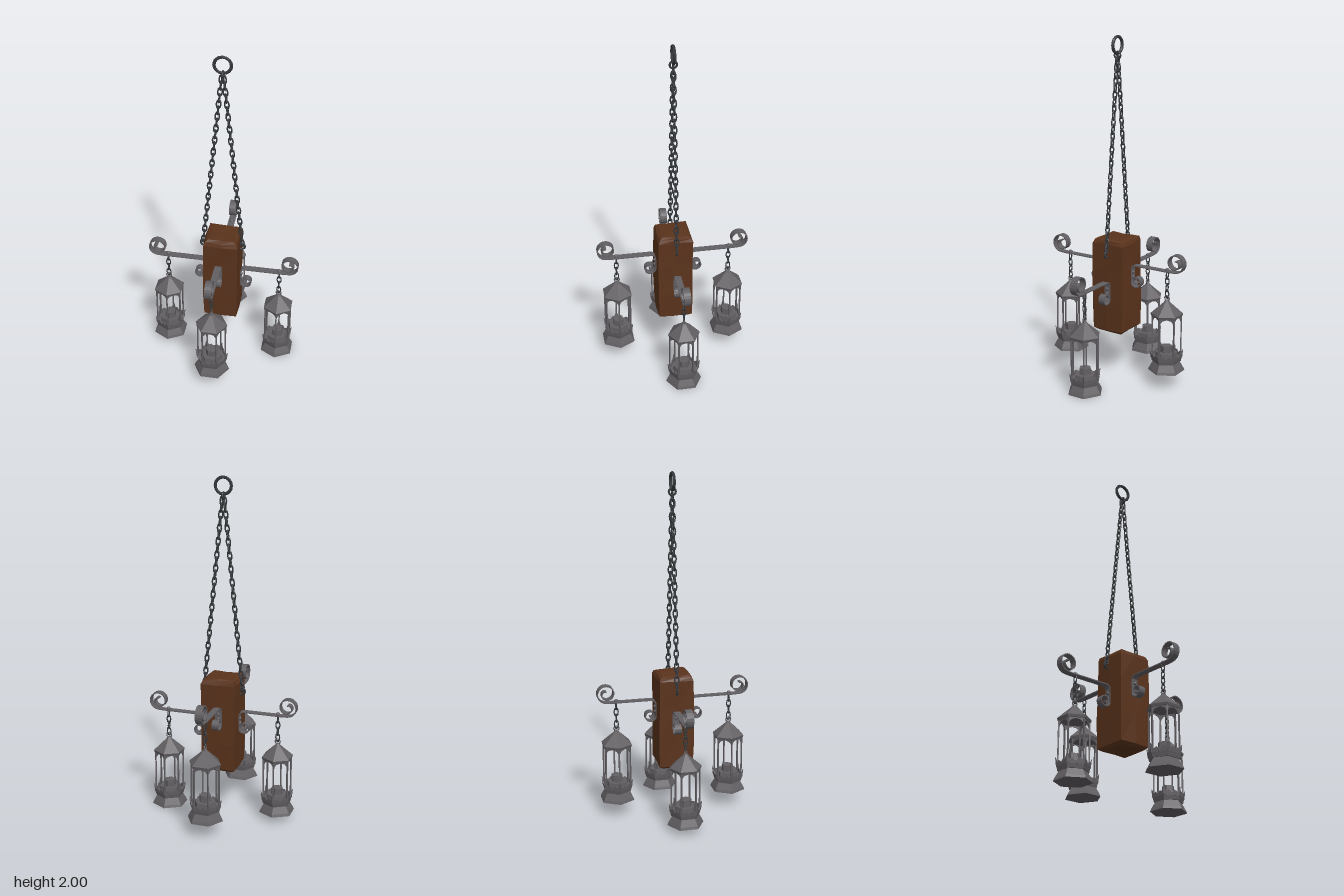
import * as THREE from 'three';

const material = (color) => new THREE.MeshStandardMaterial({ color, flatShading: true });
const wood = material(0x5a331c);
const iron = material(0x625f62);
const chainIron = material(0x35383b);

function add(parent, name, geometry, mat, x = 0, y = 0, z = 0) {
  const mesh = new THREE.Mesh(geometry, mat);
  mesh.name = name;
  mesh.position.set(x, y, z);
  parent.add(mesh);
  return mesh;
}

// Roughly hewn block lofted from eight-point sections
function blockGeometry() {
  const sections = [[0.282, 0.8], [0.298, 0.97], [0.46, 1], [0.66, 0.985], [0.815, 0.98], [0.836, 0.9], [0.845, 0.72]];
  const n = 8, pos = [], idx = [];
  sections.forEach(([y, s], j) => {
    for (let i = 0; i < n; i++) {
      const a = (i / n) * Math.PI * 2;
      const r = (i % 2 ? 0.145 : 0.105) * s + 0.003 * Math.sin(i * 2.3 + j * 1.7);
      pos.push(Math.sin(a) * r - 0.002, y + 0.003 * Math.sin(i * 1.9 + j), Math.cos(a) * r);
    }
  });
  for (let j = 0; j < sections.length - 1; j++) {
    for (let i = 0; i < n; i++) {
      const a = j * n + i, b = j * n + (i + 1) % n;
      idx.push(a, b, b + n, a, b + n, a + n);
    }
  }
  const top = (sections.length - 1) * n, c = pos.length / 3;
  pos.push(0, 0.28, 0, 0, 0.846, 0);
  for (let i = 0; i < n; i++) {
    const k = (i + 1) % n;
    idx.push(c, k, i, c + 1, top + i, top + k);
  }
  const g = new THREE.BufferGeometry();
  g.setAttribute('position', new THREE.Float32BufferAttribute(pos, 3));
  g.setIndex(idx);
  g.computeVertexNormals();
  return g;
}

function spiral(cx, cy, radius, start, turns, steps) {
  const pts = [];
  for (let i = 0; i <= steps; i++) {
    const u = i / steps, a = start + u * turns * Math.PI * 2;
    const r = radius * (1 - 0.75 * u * u);
    pts.push(new THREE.Vector2(cx + Math.cos(a) * r, cy + Math.sin(a) * r));
  }
  return pts;
}

// Flat iron strap following a 2D path
function strapGeometry(path, thickness, width) {
  const offset = (sign) => path.map((p, i) => {
    const a = path[Math.max(i - 1, 0)], b = path[Math.min(i + 1, path.length - 1)];
    const t = b.clone().sub(a).normalize();
    return new THREE.Vector2(p.x - t.y * sign * thickness / 2, p.y + t.x * sign * thickness / 2);
  });
  const shape = new THREE.Shape([...offset(-1), ...offset(1).reverse()]);
  return new THREE.ExtrudeGeometry(shape, { depth: width, bevelEnabled: false }).translate(0, 0, -width / 2);
}

// Chain of links alternately turned by a quarter
function chain(parent, name, from, to, pitch, radius, tube) {
  const group = new THREE.Group();
  group.name = name;
  const dir = to.clone().sub(from), count = Math.round(dir.length() / pitch);
  const step = dir.length() / count;
  const stretch = (step * 0.62) / radius;
  const geo = new THREE.TorusGeometry(radius, tube, 5, 10).scale(1, stretch, 1);
  for (let i = 0; i < count; i++) {
    const link = add(group, 'chainLink', geo, chainIron, 0, (i + 0.5) * step, 0);
    link.rotation.y = i % 2 ? Math.PI / 2 : 0;
  }
  group.position.copy(from);
  group.quaternion.setFromUnitVectors(new THREE.Vector3(0, 1, 0), dir.normalize());
  parent.add(group);
}

function panelGeometry(points, w) {
  const shape = new THREE.Shape(points.map(([x, y]) => new THREE.Vector2(x * w, y)));
  return new THREE.ExtrudeGeometry(shape, { depth: 0.004, bevelEnabled: false });
}

function lantern() {
  const g = new THREE.Group();
  g.name = 'lantern';
  const hex = (name, rTop, rBottom, y0, y1) =>
    add(g, name, new THREE.CylinderGeometry(rTop, rBottom, y1 - y0, 6), iron, 0, (y0 + y1) / 2, 0);
  hex('foot', 0.1, 0.106, 0, 0.015);
  hex('footSlope', 0.076, 0.1, 0.015, 0.057);
  hex('floorPlate', 0.09, 0.084, 0.055, 0.08);
  hex('candleCup', 0.062, 0.066, 0.08, 0.112);
  hex('candle', 0.034, 0.036, 0.112, 0.15);
  hex('eaves', 0.094, 0.09, 0.332, 0.346);
  hex('roof', 0.017, 0.094, 0.346, 0.415);
  hex('roofCap', 0.01, 0.018, 0.415, 0.426);
  add(g, 'topRing', new THREE.TorusGeometry(0.015, 0.004, 6, 12), iron, 0, 0.437, 0);

  // Corner posts, arched braces and pointed crown on the six sides
  const R = 0.083, post = new THREE.BoxGeometry(0.008, 0.26, 0.008);
  const arch = [[-0.5, 0.335], [-0.5, 0.29], [-0.43, 0.305], [-0.3, 0.32], [0, 0.328], [0.3, 0.32], [0.43, 0.305], [0.5, 0.29], [0.5, 0.335]];
  const crown = [[-0.5, 0], [0.5, 0], [0.53, 0.05], [0.36, 0.022], [0.2, 0.03], [0, 0.014], [-0.2, 0.03], [-0.36, 0.022], [-0.53, 0.05]];
  const archGeo = panelGeometry([...arch].reverse(), R);
  const crownGeo = panelGeometry(crown, 0.089).rotateX(0.1);
  for (let i = 0; i < 6; i++) {
    const side = new THREE.Group();
    side.name = 'lanternSide';
    side.rotation.y = (i + 0.5) * Math.PI / 3;
    add(side, 'archBrace', archGeo, iron, 0, 0, R * 0.866 - 0.004);
    add(side, 'crownPanel', crownGeo, iron, 0, 0.078, 0.076);
    g.add(side);
    const a = i * Math.PI / 3;
    add(g, 'post', post, iron, Math.sin(a) * R, 0.205, Math.cos(a) * R).rotation.y = a;
  }
  return g;
}

// Scrolled arm along +x with its hanging lantern, standing on local y = 0
function arm() {
  const g = new THREE.Group();
  g.name = 'lanternArm';
  const v = (x, y) => new THREE.Vector2(x, y);
  const path = [
    ...spiral(0.138, 0.502, 0.034, Math.PI, 1.3, 22).reverse(),
    v(0.104, 0.56), v(0.107, 0.582), v(0.116, 0.594), v(0.135, 0.598), v(0.36, 0.598),
    ...spiral(0.396, 0.653, 0.053, -Math.PI / 2, 1.5, 30),
  ];
  add(g, 'scrollStrap', strapGeometry(path, 0.006, 0.04), iron);
  for (const y of [0.525, 0.555]) {
    add(g, 'rivet', new THREE.SphereGeometry(0.01, 8, 6), iron, 0.108, y, 0);
  }
  add(g, 'hangerKnob', new THREE.SphereGeometry(0.013, 8, 6), iron, 0.338, 0.604, 0);
  chain(g, 'lanternChain', new THREE.Vector3(0.338, 0.443, 0), new THREE.Vector3(0.338, 0.595, 0), 0.038, 0.012, 0.0035);
  const l = lantern();
  l.position.x = 0.338;
  g.add(l);
  return g;
}

export function createModel() {
  const model = new THREE.Group();
  model.name = 'hangingLanternCluster';
  add(model, 'woodenBlock', blockGeometry(), wood);

  // Arms: left, right, front, back as [turn, x, y, z]
  const arms = [
    [0, 0, 0, -0.006],
    [Math.PI, 0, 0.042, -0.006],
    [-Math.PI / 2, -0.009, 0.09, 0],
    [Math.PI / 2, -0.009, 0.09, 0],
  ];
  for (const [turn, x, y, z] of arms) {
    const a = arm();
    a.rotation.y = turn;
    a.position.set(x, y, z);
    model.add(a);
  }

  // Top ring, joining ring and the two suspension chains
  const cx = -0.004, cz = -0.003;
  add(model, 'topRing', new THREE.TorusGeometry(0.047, 0.009, 6, 16), chainIron, cx, 1.944, cz);
  add(model, 'joiningRing', new THREE.TorusGeometry(0.02, 0.006, 6, 12), chainIron, cx, 1.887, cz).rotation.y = Math.PI / 2;
  for (const s of [-1, 1]) {
    chain(model, 'suspensionChain', new THREE.Vector3(cx + s * 0.117, 0.77, cz),
      new THREE.Vector3(cx + s * 0.005, 1.88, cz), 0.038, 0.012, 0.0045);
    add(model, 'sideEye', new THREE.TorusGeometry(0.021, 0.006, 6, 12), chainIron, cx + s * 0.112, 0.763, cz);
  }
  return model;
}
